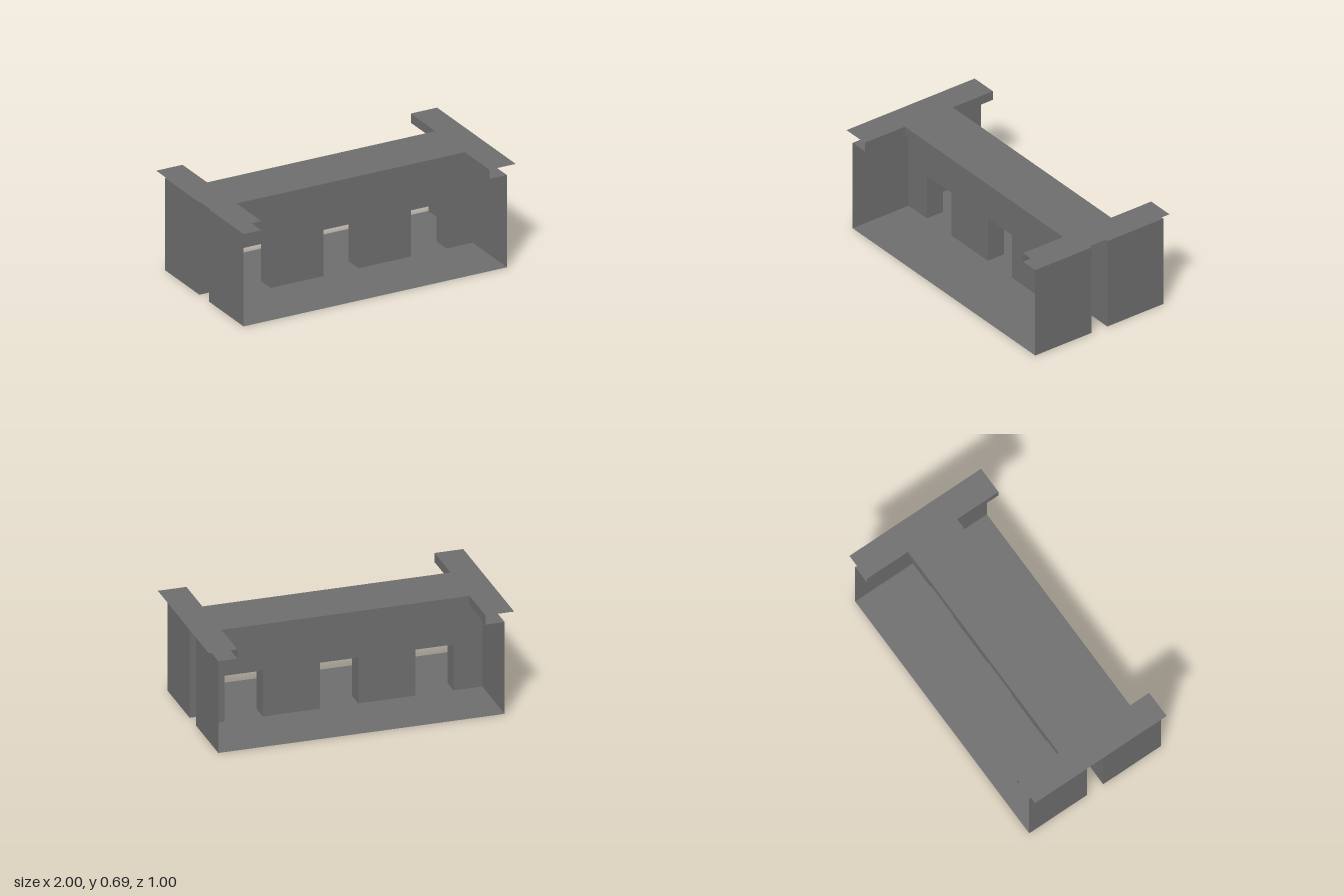
import * as THREE from 'three';

const stone = new THREE.MeshStandardMaterial({ color: 0x6d6d6d, side: THREE.DoubleSide });
stone.name = 'grey stone';

const END = 0.9375, WALL = 0.0625, DEPTH = 0.5;      // hall half length, wall half thickness, half depth
const TOP = 0.6875, LEDGE = 0.625, DOOR_H = 0.3125;
const LIP_X = 0.8125, LIP_Z = 0.1875;                // inner edges of the H-shaped roof
const DOORS = [[-0.75, -0.5], [-0.125, 0.125], [0.5, 0.75]];

const shape = (pts) => new THREE.Shape(pts.map(([x, y]) => new THREE.Vector2(x, y)));

function part(parent, name, geometry, x = 0, y = 0, z = 0) {
  const mesh = new THREE.Mesh(geometry, stone);
  mesh.name = name;
  mesh.position.set(x, y, z);
  parent.add(mesh);
}

// Flat panels: horizontal (facing up or down) and facing along x
const flat = (s, dir) => new THREE.ShapeGeometry(s).rotateX(-dir * Math.PI / 2);
const sidePanel = (depth, height, dir) => new THREE.PlaneGeometry(depth, height).rotateY(dir * Math.PI / 2);

// Everything on one side of the central wall, facing +z
function buildHalf(name) {
  const half = new THREE.Group();
  half.name = name;

  // Wall face with three doorways
  const outline = [[-END, 0]];
  for (const [a, b] of DOORS) outline.push([a, 0], [a, DOOR_H], [b, DOOR_H], [b, 0]);
  outline.push([END, 0], [END, LEDGE], [-END, LEDGE]);
  part(half, 'wallFace', new THREE.ShapeGeometry(shape(outline)), 0, 0, WALL);

  // Underside of the roof
  part(half, 'roofUnderside', flat(shape([
    [-END, WALL], [END, WALL], [END, DEPTH], [LIP_X, DEPTH],
    [LIP_X, LIP_Z], [-LIP_X, LIP_Z], [-LIP_X, DEPTH], [-END, DEPTH],
  ]), -1), 0, LEDGE, 0);

  // Roof edges around the recess
  const lipH = TOP - LEDGE, lipY = (TOP + LEDGE) / 2;
  part(half, 'roofLongEdge', new THREE.PlaneGeometry(2 * LIP_X, lipH), 0, lipY, LIP_Z);
  for (const s of [-1, 1]) {
    part(half, 'roofShortEdge', sidePanel(DEPTH - LIP_Z, lipH, -s), s * LIP_X, lipY, (DEPTH + LIP_Z) / 2);
    part(half, 'endWall', sidePanel(DEPTH - WALL, LEDGE, s), s * END, LEDGE / 2, (DEPTH + WALL) / 2);
  }
  return half;
}

export function createModel() {
  const model = new THREE.Group();
  model.name = 'doorwayHall';

  const front = buildHalf('frontHalf');
  const back = buildHalf('backHalf');
  back.rotation.y = Math.PI;
  model.add(front, back);

  // H-shaped roof top
  part(model, 'roofTop', flat(shape([
    [-1, -DEPTH], [-LIP_X, -DEPTH], [-LIP_X, -LIP_Z], [LIP_X, -LIP_Z], [LIP_X, -DEPTH], [1, -DEPTH],
    [1, DEPTH], [LIP_X, DEPTH], [LIP_X, LIP_Z], [-LIP_X, LIP_Z], [-LIP_X, DEPTH], [-1, DEPTH],
  ]), 1), 0, TOP, 0);

  // Floor strips, joined only through the doorways
  const floorDepth = DEPTH - WALL;
  for (const s of [-1, 1]) {
    part(model, 'floor', new THREE.PlaneGeometry(2 * END, floorDepth).rotateX(-Math.PI / 2),
      0, 0, s * (DEPTH + WALL) / 2);
  }

  // Doorway linings: sill, lintel and two jambs
  for (const [a, b] of DOORS) {
    const mid = (a + b) / 2;
    part(model, 'doorSill', new THREE.PlaneGeometry(b - a, 2 * WALL).rotateX(-Math.PI / 2), mid, 0, 0);
    part(model, 'doorLintel', new THREE.PlaneGeometry(b - a, 2 * WALL).rotateX(Math.PI / 2), mid, DOOR_H, 0);
    part(model, 'doorJamb', sidePanel(2 * WALL, DOOR_H, 1), a, DOOR_H / 2, 0);
    part(model, 'doorJamb', sidePanel(2 * WALL, DOOR_H, -1), b, DOOR_H / 2, 0);
  }
  return model;
}
